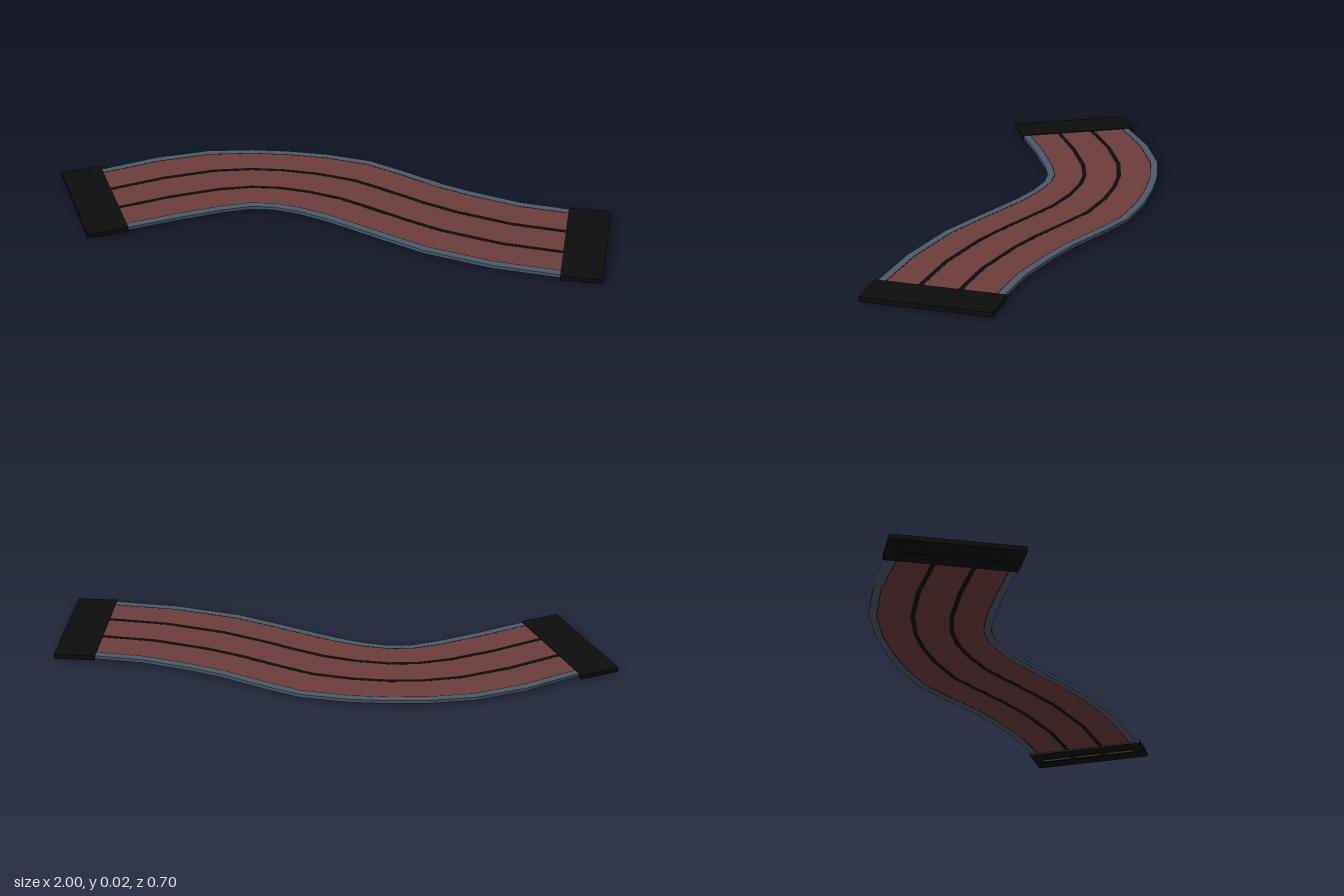
import * as THREE from 'three';

// Paired points on the two long edges of the track, left end to right end: [x, z, x, z]
const ROWS = [
  [-0.93, -0.06, -0.73, 0.31], [-0.855, -0.105, -0.66, 0.272], [-0.68, -0.22, -0.505, 0.18],
  [-0.505, -0.30, -0.355, 0.10], [-0.345, -0.335, -0.265, 0.062], [-0.21, -0.348, -0.185, 0.053],
  [-0.065, -0.35, -0.09, 0.067], [0.10, -0.33, 0.01, 0.097], [0.23, -0.28, 0.08, 0.125],
  [0.39, -0.21, 0.24, 0.19], [0.5, -0.175, 0.38, 0.245], [0.68, -0.13, 0.62, 0.297],
  [0.85, -0.115, 0.85, 0.315], [0.93, -0.113, 0.93, 0.317],
];

const mat = (color) => new THREE.MeshStandardMaterial({ color, flatShading: true });
const red = mat(0x6b3d3b), blue = mat(0x4a5a68), black = mat(0x0d0d0d);

// Slab that follows the track between width fractions f0 and f1
function strip(name, f0, f1, y0, y1, material) {
  const rings = ROWS.map(([ux, uz, lx, lz]) => {
    const at = (f, y) => [ux + (lx - ux) * f, y, uz + (lz - uz) * f];
    return [at(f0, y1), at(f1, y1), at(f1, y0), at(f0, y0)];
  });
  const pos = [];
  const quad = (a, b, c, d) => pos.push(...a, ...b, ...c, ...a, ...c, ...d);
  for (let i = 0; i < rings.length - 1; i++) {
    for (let k = 0; k < 4; k++) {
      const n = (k + 1) % 4;
      quad(rings[i][k], rings[i][n], rings[i + 1][n], rings[i + 1][k]);
    }
  }
  const s = rings[0], e = rings[rings.length - 1];
  quad(s[0], s[3], s[2], s[1]);
  quad(e[0], e[1], e[2], e[3]);
  const geo = new THREE.BufferGeometry();
  geo.setAttribute('position', new THREE.Float32BufferAttribute(pos, 3));
  geo.computeVertexNormals();
  const mesh = new THREE.Mesh(geo, material);
  mesh.name = name;
  return mesh;
}

// End plate with a row of shallow feet underneath
function endPlate(name, x, z, angle) {
  const g = new THREE.Group();
  g.name = name;
  const plate = new THREE.Mesh(new THREE.BoxGeometry(0.147, 0.017, 0.446), black);
  plate.name = 'plate';
  plate.position.y = 0.0145;
  g.add(plate);
  for (let i = -1; i <= 1; i++) {
    const foot = new THREE.Mesh(new THREE.BoxGeometry(0.012, 0.008, 0.11), black);
    foot.name = 'foot';
    foot.position.set(0, 0.004, i * 0.13);
    g.add(foot);
  }
  g.position.set(x, 0, z);
  g.rotation.y = angle;
  return g;
}

export function createModel() {
  const model = new THREE.Group();
  model.name = 'curvedTrack';

  // Side rails
  model.add(strip('backRail', 0, 0.06, 0.009, 0.021, blue));
  model.add(strip('frontRail', 0.94, 1, 0.009, 0.021, blue));

  // Three lanes
  [[0.067, 0.331], [0.369, 0.644], [0.682, 0.933]].forEach(([a, b]) =>
    model.add(strip('lane', a, b, 0.0095, 0.0205, red)));

  // Dark dividers between lanes and thin seams beside the rails
  [[0.331, 0.369], [0.644, 0.682], [0.06, 0.067], [0.933, 0.94]].forEach(([a, b]) =>
    model.add(strip('divider', a, b, 0.0092, 0.0208, black)));

  // End plates
  model.add(endPlate('rightEndPlate', -0.83, 0.114, 0.49));
  model.add(endPlate('leftEndPlate', 0.9265, 0.102, 0));
  return model;
}
